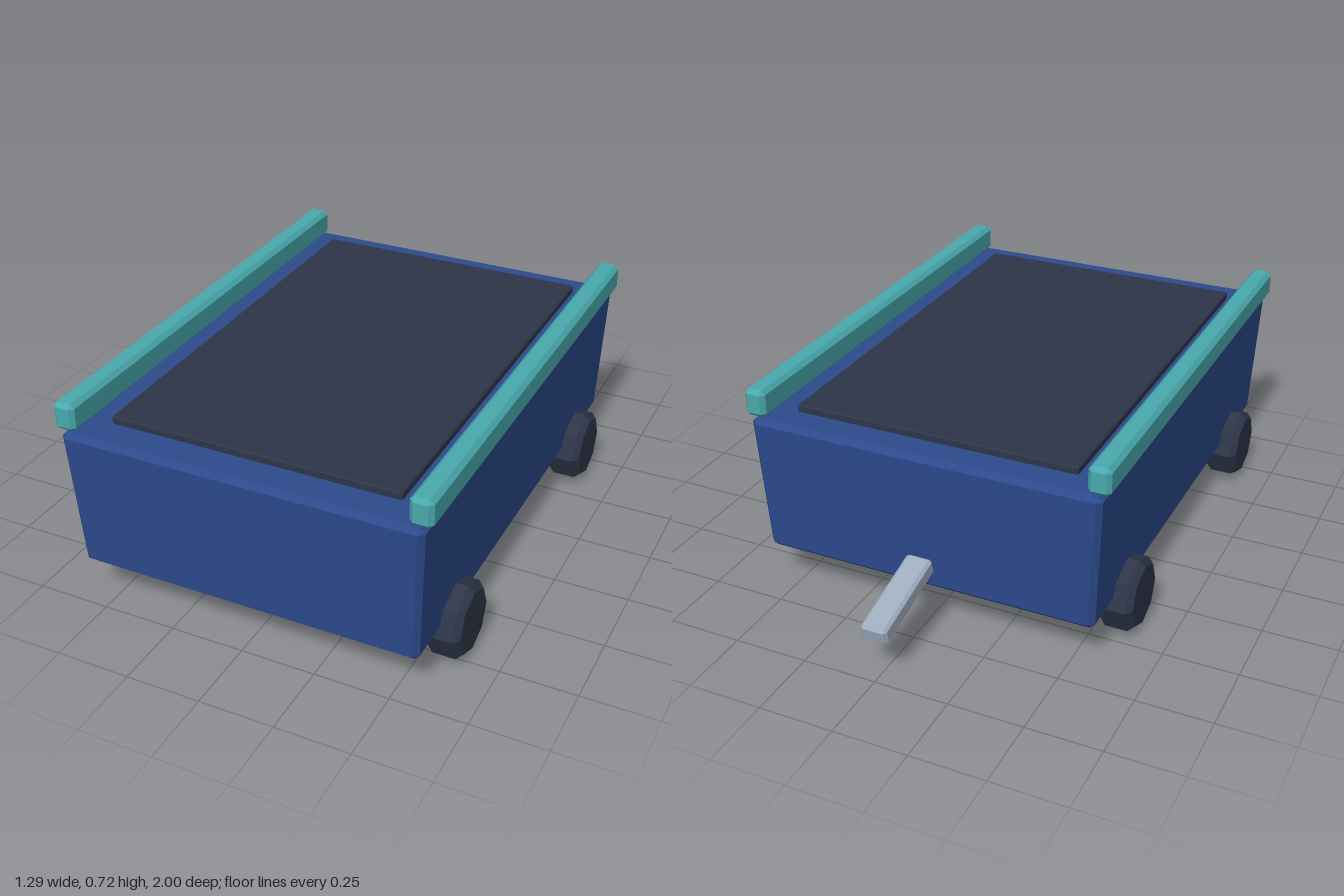
import * as THREE from 'three';
import { ConvexGeometry } from 'three/addons/geometries/ConvexGeometry.js';

const flat = (name, color) => {
  const m = new THREE.MeshStandardMaterial({ color });
  m.name = name;
  return m;
};

// Box with chamfered edges; the base may be narrower by `taper` on every side
function chamferBox(w, h, d, c, taper = 0) {
  const half = [w / 2, h / 2, d / 2];
  const points = [];
  for (const sx of [-1, 1]) for (const sy of [-1, 1]) for (const sz of [-1, 1]) {
    for (let axis = 0; axis < 3; axis++) {
      const [x, y, z] = half.map((v, i) => (i === axis ? v : v - c));
      const inset = taper * (0.5 - (sy * y) / h);
      points.push(new THREE.Vector3(sx * (x - inset), sy * y, sz * (z - inset)));
    }
  }
  return new ConvexGeometry(points);
}

// Eight-sided wheel with bevelled rims, axle along x
function wheelGeometry(r, width, c) {
  const h = width / 2;
  const profile = [[0, -h], [r - c, -h], [r, -h + c], [r, h - c], [r - c, h], [0, h]]
    .map(([x, y]) => new THREE.Vector2(x, y));
  const g = new THREE.LatheGeometry(profile, 8).toNonIndexed();
  g.computeVertexNormals();
  return g.rotateZ(Math.PI / 2);
}

export function createModel() {
  const blue = flat('bodyBlue', 0x2c4a8c);
  const teal = flat('railTeal', 0x48a9ad);
  const dark = flat('darkSlate', 0x2d3548);
  const metal = flat('metalGrey', 0xa0aec0);

  const model = new THREE.Group();
  model.name = 'cart';
  const add = (name, geometry, material, x, y, z) => {
    const mesh = new THREE.Mesh(geometry, material);
    mesh.name = name;
    mesh.position.set(x, y, z);
    model.add(mesh);
    return mesh;
  };

  // Tapered tub and the dark panel on top
  add('body', chamferBox(1.2, 0.485, 1.69, 0.018, 0.022), blue, 0, 0.3875, 0.155);
  add('bedPanel', chamferBox(0.97, 0.05, 1.47, 0.005), dark, 0, 0.63, 0.15);

  // Side rails and wheels
  const rail = chamferBox(0.074, 0.094, 1.67, 0.014);
  const wheel = wheelGeometry(0.125, 0.116, 0.02);
  for (const [side, s] of [['left', 1], ['right', -1]]) {
    add(side + 'Rail', rail, teal, s * 0.585, 0.678, 0.155);
    add(side + 'FrontWheel', wheel, dark, s * 0.586, 0.127, 0.707);
    add(side + 'BackWheel', wheel, dark, s * 0.586, 0.127, -0.393);
  }

  // Tow bar sloping down behind
  const bar = add('towBar', chamferBox(0.09, 0.06, 0.32, 0.01), metal, 0, 0.209, -0.837);
  bar.rotation.x = -0.25;

  return model;
}
